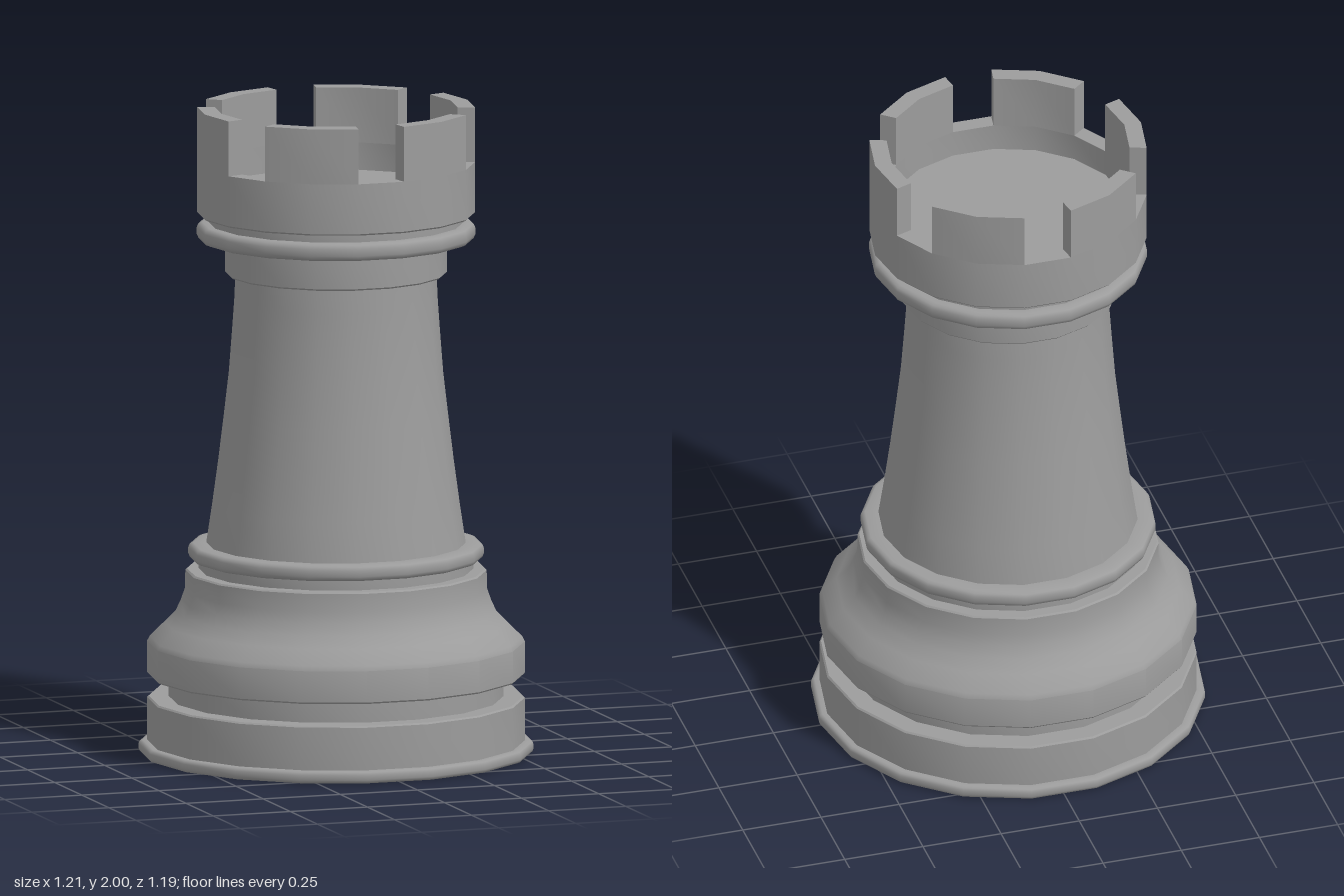
import * as THREE from 'three';
import { toCreasedNormals } from 'three/addons/utils/BufferGeometryUtils.js';

const SIDES = 18;
const SHARP = Math.PI / 5.5; // crease angle for turned steps
const SOFT = Math.PI / 3.6; // crease angle for rounded beads
const material = new THREE.MeshStandardMaterial({ color: 0x9c9c9c });

// Turned part: profile of [radius, height] points running from bottom to top
function turned(name, profile, crease = SHARP) {
  const points = profile.map(([r, y]) => new THREE.Vector2(r, y));
  const lathe = new THREE.LatheGeometry(points, SIDES, Math.PI / 2);
  const mesh = new THREE.Mesh(toCreasedNormals(lathe, crease), material);
  mesh.name = name;
  return mesh;
}

// Rounded bead between heights y0 and y1, from the lower to the upper radius
function bead(rIn, rOut, y0, y1, rTop) {
  const b = (y1 - y0) * 0.3;
  return [
    [rIn, y0], [rOut - b, y0], [rOut - b * 0.3, y0 + b * 0.3], [rOut, y0 + b],
    [rOut, y1 - b], [rOut - b * 0.3, y1 - b * 0.3], [rOut - b, y1], [rTop, y1],
  ];
}

// One battlement block, two sides of the polygon wide
function merlon(startDeg) {
  const rOut = 0.425, rIn = 0.372, bottom = 1.83, top = 2;
  const at = (r, deg) => {
    const a = THREE.MathUtils.degToRad(deg);
    return new THREE.Vector2(r * Math.cos(a), r * Math.sin(a));
  };
  const steps = [0, 20, 40].map((d) => startDeg + d);
  const shape = new THREE.Shape([
    ...steps.map((d) => at(rOut, d)),
    ...steps.reverse().map((d) => at(rIn, d)),
  ]);
  const geo = new THREE.ExtrudeGeometry(shape, { depth: top - bottom, bevelEnabled: false });
  geo.rotateX(-Math.PI / 2).translate(0, bottom, 0);
  const mesh = new THREE.Mesh(toCreasedNormals(geo, Math.PI / 6), material);
  mesh.name = 'merlon';
  return mesh;
}

export function createModel() {
  const model = new THREE.Group();
  model.name = 'chessRook';

  model.add(
    // Foot with its thin rounded rim and flat underside
    turned('footRim', [[0, 0], ...bead(0.585, 0.604, 0, 0.038, 0.578)], SOFT),
    turned('foot', [[0.578, 0.038], [0.578, 0.17], [0.573, 0.175], [0.513, 0.175]]),
    turned('baseGroove', [[0.513, 0.175], [0.513, 0.243]]),
    // Wide base sweeping in to a narrower shoulder
    turned('base', [
      [0.513, 0.243], [0.574, 0.243], [0.578, 0.248], [0.578, 0.345], [0.57, 0.36],
      [0.525, 0.405], [0.49, 0.44], [0.474, 0.475], [0.462, 0.51],
      [0.461, 0.565], [0.456, 0.57], [0.42, 0.57],
    ]),
    turned('lowerNeck', [[0.42, 0.57], [0.42, 0.602]]),
    turned('lowerRing', bead(0.42, 0.452, 0.602, 0.65, 0.397), SOFT),
    // Tapered tower with a slight inward curve
    turned('shaft', [
      [0.397, 0.65], [0.379, 0.77], [0.36, 0.91], [0.343, 1.05],
      [0.328, 1.18], [0.318, 1.31], [0.311, 1.41], [0.308, 1.485],
    ]),
    turned('collar', [
      [0.308, 1.485], [0.334, 1.485], [0.339, 1.49], [0.339, 1.59],
    ]),
    turned('upperRing', bead(0.339, 0.426, 1.59, 1.644, 0.39), SOFT),
    turned('upperNeck', [[0.39, 1.644], [0.39, 1.67]]),
    // Hollow head with sunken floor
    turned('head', [
      [0.39, 1.67], [0.42, 1.67], [0.425, 1.675], [0.425, 1.83],
      [0.372, 1.83], [0.372, 1.745], [0, 1.745],
    ]),
  );

  // Six battlements, leaving gaps at front and back
  const battlements = new THREE.Group();
  battlements.name = 'battlements';
  for (let i = 0; i < 6; i++) battlements.add(merlon(40 + i * 60));
  model.add(battlements);

  return model;
}
